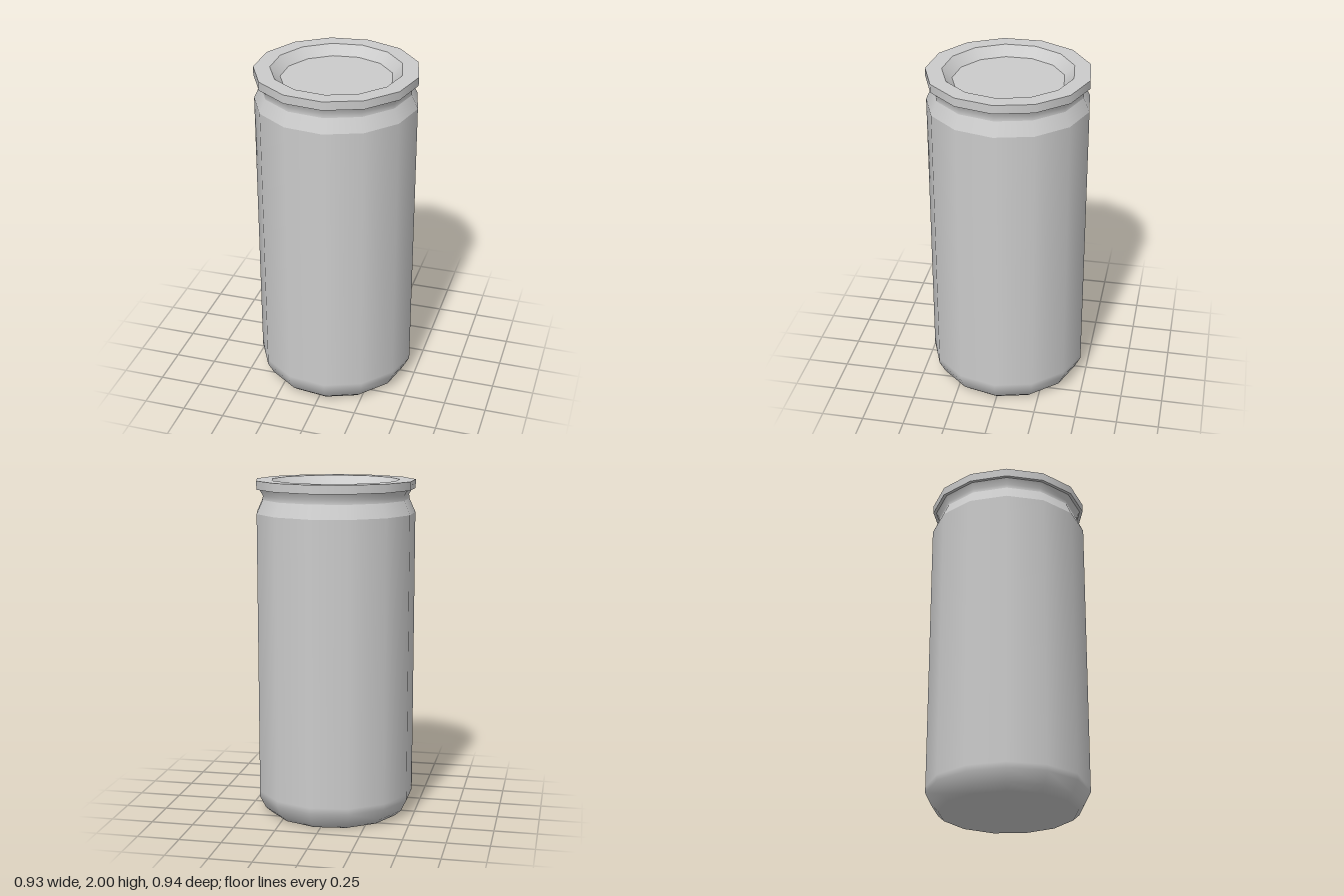
import * as THREE from 'three';

const SIDES = 13;
const material = new THREE.MeshStandardMaterial({ color: 0xcccccc });

// Ring of faces turned from [radius, height] points; smooth within one profile
function turned(name, points) {
  const profile = points.map(([r, y]) => new THREE.Vector2(r, y));
  const geometry = new THREE.LatheGeometry(profile, SIDES, Math.PI / 2);
  const mesh = new THREE.Mesh(geometry, material);
  mesh.name = name;
  return mesh;
}

export function createModel() {
  const can = new THREE.Group();
  can.name = 'can';

  // Base, rounded lower edge and straight wall
  can.add(turned('body', [
    [0, 0], [0.398, 0], [0.437, 0.035], [0.472, 0.105], [0.472, 0.14], [0.472, 1.81],
  ]));

  // Sloped shoulder and the groove beneath the rim
  can.add(turned('shoulder', [[0.472, 1.81], [0.436, 1.89]]));
  can.add(turned('neck', [[0.436, 1.89], [0.434, 1.915], [0.453, 1.95]]));

  // Lid with hard edges: one ring per face of the profile
  const lid = new THREE.Group();
  lid.name = 'lid';
  const rings = [
    ['rimUnderside', [0.453, 1.95], [0.472, 1.95]],
    ['rimSide', [0.472, 1.95], [0.472, 2]],
    ['rimTop', [0.472, 2], [0.378, 2]],
    ['recessWall', [0.378, 2], [0.321, 1.945]],
    ['recessFloor', [0.321, 1.945], [0, 1.945]],
  ];
  for (const [name, from, to] of rings) lid.add(turned(name, [from, to]));
  can.add(lid);

  // The odd side count makes the bounds lopsided, so shift to centre them
  can.position.x = -0.007;

  const model = new THREE.Group();
  model.name = 'model';
  model.add(can);
  return model;
}
